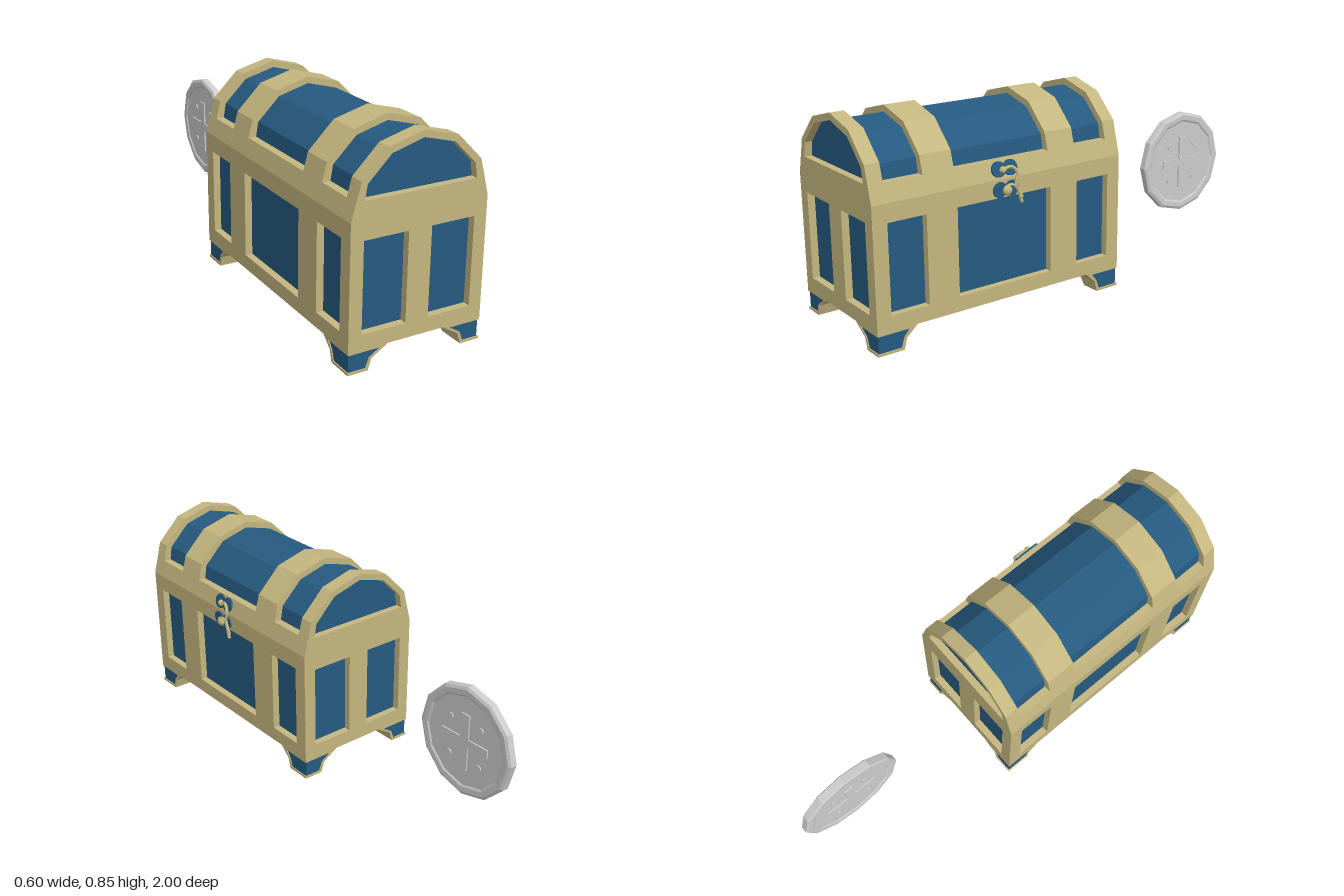
import * as THREE from 'three';

const gold = new THREE.MeshStandardMaterial({ color: 0xc4b67f, flatShading: true });
const blue = new THREE.MeshStandardMaterial({ color: 0x265a80, flatShading: true });
const grey = new THREE.MeshStandardMaterial({ color: 0xcccccc, flatShading: true });

const W = 0.283, L = 0.567;          // half width and half length of the chest
const FLOOR = 0.087, SEAM = 0.57;    // underside of the body, joint with the lid
const RECESS = 0.03;

function add(parent, name, geometry, material, x = 0, y = 0, z = 0) {
  const mesh = new THREE.Mesh(geometry, material);
  mesh.name = name;
  mesh.position.set(x, y, z);
  parent.add(mesh);
  return mesh;
}

const vectors = (points) => points.map(([x, y]) => new THREE.Vector2(x, y));

function extrude(points, depth, holes = []) {
  const shape = new THREE.Shape(vectors(points));
  for (const hole of holes) shape.holes.push(new THREE.Path(vectors(hole)));
  return new THREE.ExtrudeGeometry(shape, { depth, bevelEnabled: false });
}

const rect = (x0, x1, y0, y1) => [[x0, y0], [x1, y0], [x1, y1], [x0, y1]];
const mirrored = (half, peak) => [...half, [0, peak], ...half.map(([x, y]) => [-x, y]).reverse()];

// Puts a shape drawn in (x, y) on an end of the chest, or one drawn in (z, y) on a long side.
function onEnd(parent, name, geometry, material, side, depth) {
  add(parent, name, geometry, material, 0, 0, side > 0 ? L - depth : -L);
}
function onSide(parent, name, geometry, material, side, depth) {
  geometry.rotateY(-Math.PI / 2);
  add(parent, name, geometry, material, side > 0 ? W : -W + depth);
}

function makeBody() {
  const body = new THREE.Group();
  body.name = 'body';
  const h = SEAM - FLOOR;
  add(body, 'bodyPanels', new THREE.BoxGeometry(2 * (W - RECESS), h - 0.01, 2 * (L - RECESS)), blue, 0, FLOOR + h / 2, 0);
  add(body, 'floor', new THREE.BoxGeometry(2 * W - 0.004, 0.05, 2 * L - 0.004), gold, 0, FLOOR + 0.025, 0);
  const opening = (a, b) => rect(a, b, 0.147, 0.498);
  const depth = RECESS + 0.002;
  for (const s of [1, -1]) {
    onEnd(body, 'endFrame', extrude(rect(-W, W, FLOOR, SEAM), depth,
      [opening(-0.23, -0.048), opening(0.048, 0.23)]), gold, s, depth);
    onSide(body, 'sideFrame', extrude(rect(-L, L, FLOOR, SEAM), depth,
      [opening(-0.507, -0.347), opening(-0.215, 0.215), opening(0.347, 0.507)]), gold, s, depth);
  }
  return body;
}

function makeLid() {
  const lid = new THREE.Group();
  lid.name = 'lid';
  const outer = mirrored([[W, SEAM], [0.245, 0.71], [0.141, 0.814]], 0.852);
  const inner = mirrored([[0.231, 0.64], [0.221, 0.698], [0.128, 0.79]], 0.825);
  const core = mirrored([[0.236, 0.6], [0.231, 0.64], [0.221, 0.698], [0.128, 0.79]], 0.825);
  add(lid, 'lidPanels', extrude(core, 2 * (L - RECESS)), blue, 0, 0, -(L - RECESS));
  // Band along the joint
  add(lid, 'lidBand', extrude([[-W, SEAM], [W, SEAM], [0.264, 0.64], [-0.264, 0.64]], 2 * L), gold, 0, 0, -L);
  for (const s of [1, -1]) {
    onEnd(lid, 'endRib', extrude(outer, 0.06, [inner]), gold, s, 0.06);
    add(lid, 'middleRib', extrude(outer, 0.132), gold, 0, 0, s > 0 ? 0.215 : -0.347);
  }
  return lid;
}

function makeFoot(sx, sz) {
  const foot = new THREE.Group();
  foot.name = 'foot';
  // Flared block: a box whose inner faces widen towards the top
  const block = new THREE.BoxGeometry(1, 1, 1, 1, 2, 1);
  const p = block.attributes.position;
  const widthX = [0.083, 0.097, 0.17], widthZ = [0.108, 0.12, 0.17], height = [0, 0.045, 0.09];
  for (let i = 0; i < p.count; i++) {
    const level = Math.round((p.getY(i) + 0.5) * 2);
    const x = W - (p.getX(i) * sx < 0 ? widthX[level] : 0.012);
    const z = L - (p.getZ(i) * sz < 0 ? widthZ[level] : 0.012);
    p.setXYZ(i, sx * x, height[level], sz * z);
  }
  add(foot, 'footBlock', block, gold);
  add(foot, 'footSole', new THREE.BoxGeometry(0.083, 0.01, 0.108), gold, sx * (W - 0.0415), 0.005, sz * (L - 0.054));
  // Blue inlay and raised rim on the two outer faces
  for (const [size, half, s, place, side] of [[widthX, W, sx, onEnd, sz], [widthZ, L, sz, onSide, sx]]) {
    const [a, b, c] = size;
    const at = (points) => points.map(([u, y]) => [s * (half - u), y]);
    const panel = [[0.006, 0.008], [a - 0.008, 0.008], [b - 0.008, 0.048], [c - 0.03, 0.08], [0.006, 0.08]];
    const rim = [[0, 0], [a, 0], [b, 0.045], [c, 0.09], [0, 0.09], [0, 0.078],
      [c - 0.035, 0.078], [b - 0.01, 0.048], [a - 0.01, 0.01], [0, 0.01]];
    place(foot, 'footRim', extrude(at(rim), 0.014), gold, side, 0.014);
    const inlay = extrude(at(panel), 0.01);
    // Sunk slightly behind the rim
    if (place === onEnd) inlay.translate(0, 0, -side * 0.004);
    else inlay.translate(0, 0, side * 0.004);
    place(foot, 'footInlay', inlay, blue, side, 0.01);
  }
  return foot;
}

function makeLatch() {
  const latch = new THREE.Group();
  latch.name = 'latch';
  // Two-lobed blue plates, the upper one leaning with the lid
  for (const [y, x, tilt] of [[0.608, 0.274, 0.26], [0.53, W, 0]]) {
    const plate = new THREE.Group();
    plate.name = 'latchPlate';
    for (const z of [-0.027, 0.027]) {
      add(plate, 'plateLobe', new THREE.CylinderGeometry(0.031, 0.031, 0.014, 16).rotateZ(Math.PI / 2), blue, 0, 0, z);
    }
    plate.position.set(x, y, 0);
    plate.rotation.z = tilt;
    latch.add(plate);
  }
  const knob = add(latch, 'latchKnob', new THREE.SphereGeometry(0.02, 12, 8), gold, 0.297, 0.527, 0);
  knob.scale.x = 0.75;
  add(latch, 'latchPivot', new THREE.SphereGeometry(0.014, 12, 8), gold, 0.284, 0.606, 0.012);
  const tube = (points, r) => new THREE.TubeGeometry(
    new THREE.CatmullRomCurve3(points.map((q) => new THREE.Vector3(...q))), 20, r, 6);
  add(latch, 'latchHook', tube([[0.284, 0.606, 0.012], [0.288, 0.614, -0.025], [0.296, 0.59, -0.047],
    [0.298, 0.545, -0.04], [0.3, 0.51, -0.052], [0.301, 0.47, -0.064]], 0.007), gold);
  add(latch, 'latchArm', tube([[0.297, 0.54, 0.01], [0.298, 0.547, -0.02],
    [0.298, 0.525, -0.048], [0.3, 0.49, -0.066]], 0.006), gold);
  return latch;
}

function makeCoin() {
  const coin = new THREE.Group();
  coin.name = 'coin';
  const edge = [[0.192, 0.014], [0.2, 0.019], [0.222, 0.02], [0.234, 0.014]];
  const profile = [[0, -0.014], ...edge.map(([r, y]) => [r, -y]), ...edge.slice().reverse(), [0, 0.014]];
  add(coin, 'coinDisc', new THREE.LatheGeometry(vectors(profile), 12).rotateZ(Math.PI / 2), grey);
  // Raised cross and studs on both faces
  add(coin, 'crossUpright', new THREE.BoxGeometry(0.04, 0.24, 0.04), grey);
  add(coin, 'crossBar', new THREE.BoxGeometry(0.04, 0.036, 0.236), grey);
  for (const y of [-0.08, 0.08]) {
    for (const z of [-0.077, 0.077]) {
      add(coin, 'coinStud', new THREE.CylinderGeometry(0.014, 0.014, 0.038, 10).rotateZ(Math.PI / 2), grey, 0, y, z);
    }
  }
  coin.position.set(-0.016, 0.378, -0.764);
  return coin;
}

export function createModel() {
  const model = new THREE.Group();
  model.name = 'treasureChestAndCoin';
  const chest = new THREE.Group();
  chest.name = 'chest';
  chest.add(makeBody(), makeLid(), makeLatch());
  for (const sx of [1, -1]) for (const sz of [1, -1]) chest.add(makeFoot(sx, sz));
  chest.position.set(-0.015, 0, 0.433);
  model.add(chest, makeCoin());
  return model;
}
